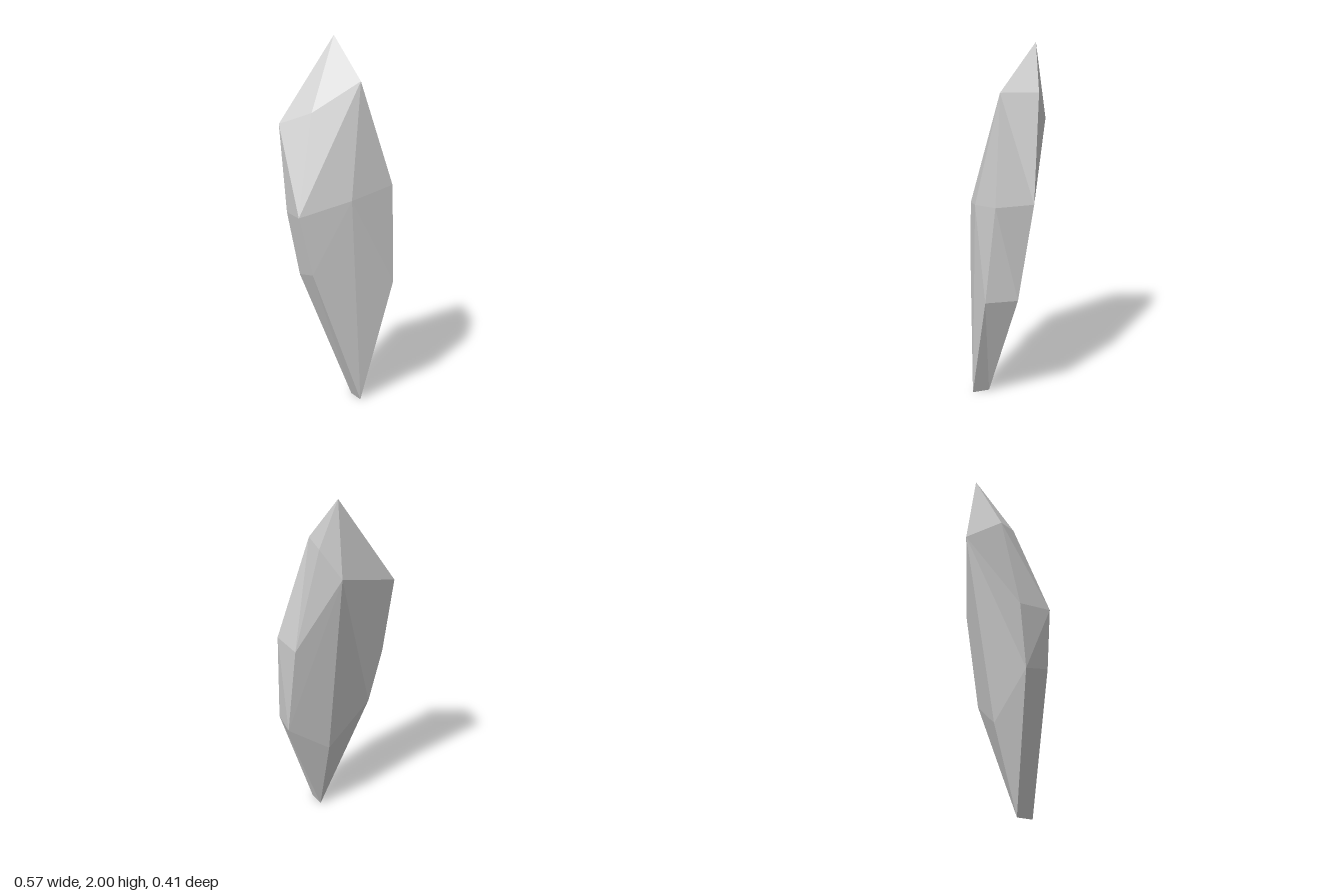
import * as THREE from 'three';

// Corners of the shard: front and back rims plus the ridges between them
const corners = {
  top: [0.045, 2, -0.15],
  // right rim, front and back, from high to low
  r1: [0.115, 1.755, 0.054], r1b: [0.145, 1.755, -0.145],
  r2: [0.283, 1.19, 0.114], r2b: [0.265, 1.19, -0.096],
  r3: [0.268, 0.655, 0.168], r3b: [0.282, 0.66, -0.008],
  // bottom edge
  tip: [0.051, 0, 0.206], tipB: [0.04, 0, 0.108],
  // left rim, from low to high
  l3: [-0.215, 0.74, 0.165], l3b: [-0.235, 0.715, 0.025],
  l2: [-0.285, 1.055, 0.147], l2b: [-0.285, 1.056, -0.033],
  l1: [-0.15, 1.59, 0], l1b: [-0.285, 1.525, -0.144],
  // ridge points on the broad faces
  front: [0.01, 1.13, 0.173],
  backHigh: [0.046, 1.6, -0.207], backLow: [0.04, 0.49, -0.025],
};

const facets = [
  // front
  'top l1b l1 r1', 'r1 l1 l2', 'r1 l2 front', 'r1 front r2',
  'front l2 l3 tip', 'front tip r3 r2',
  // right edge
  'top r1 r1b', 'r1 r2 r2b r1b', 'r2 r3 r3b r2b', 'r3 tip tipB r3b',
  // left edge
  'l1b l2b l2 l1', 'l2 l2b l3b l3', 'l3 l3b tipB tip',
  // back
  'backHigh top r1b r2b', 'backHigh r2b r3b backLow', 'backLow r3b tipB',
  'backLow tipB l3b', 'backHigh backLow l3b l2b', 'backHigh l2b l1b', 'backHigh l1b top',
];

// Fans each facet into triangles that face away from the core
function facetGeometry() {
  const core = new THREE.Vector3(0, 1, 0.05);
  const points = [];
  for (const facet of facets) {
    const p = facet.split(' ').map((name) => new THREE.Vector3(...corners[name]));
    for (let i = 1; i < p.length - 1; i++) {
      const tri = new THREE.Triangle(p[0], p[i], p[i + 1]);
      const normal = tri.getNormal(new THREE.Vector3());
      const outward = normal.dot(p[0].clone().sub(core)) > 0;
      points.push(...(outward ? [tri.a, tri.b, tri.c] : [tri.a, tri.c, tri.b]));
    }
  }
  const geometry = new THREE.BufferGeometry().setFromPoints(points);
  geometry.computeVertexNormals();
  return geometry;
}

export function createModel() {
  const model = new THREE.Group();
  model.name = 'rockShard';
  const shard = new THREE.Mesh(
    facetGeometry(),
    new THREE.MeshStandardMaterial({ color: 0xcccccc, flatShading: true })
  );
  shard.name = 'shard';
  model.add(shard);
  return model;
}
